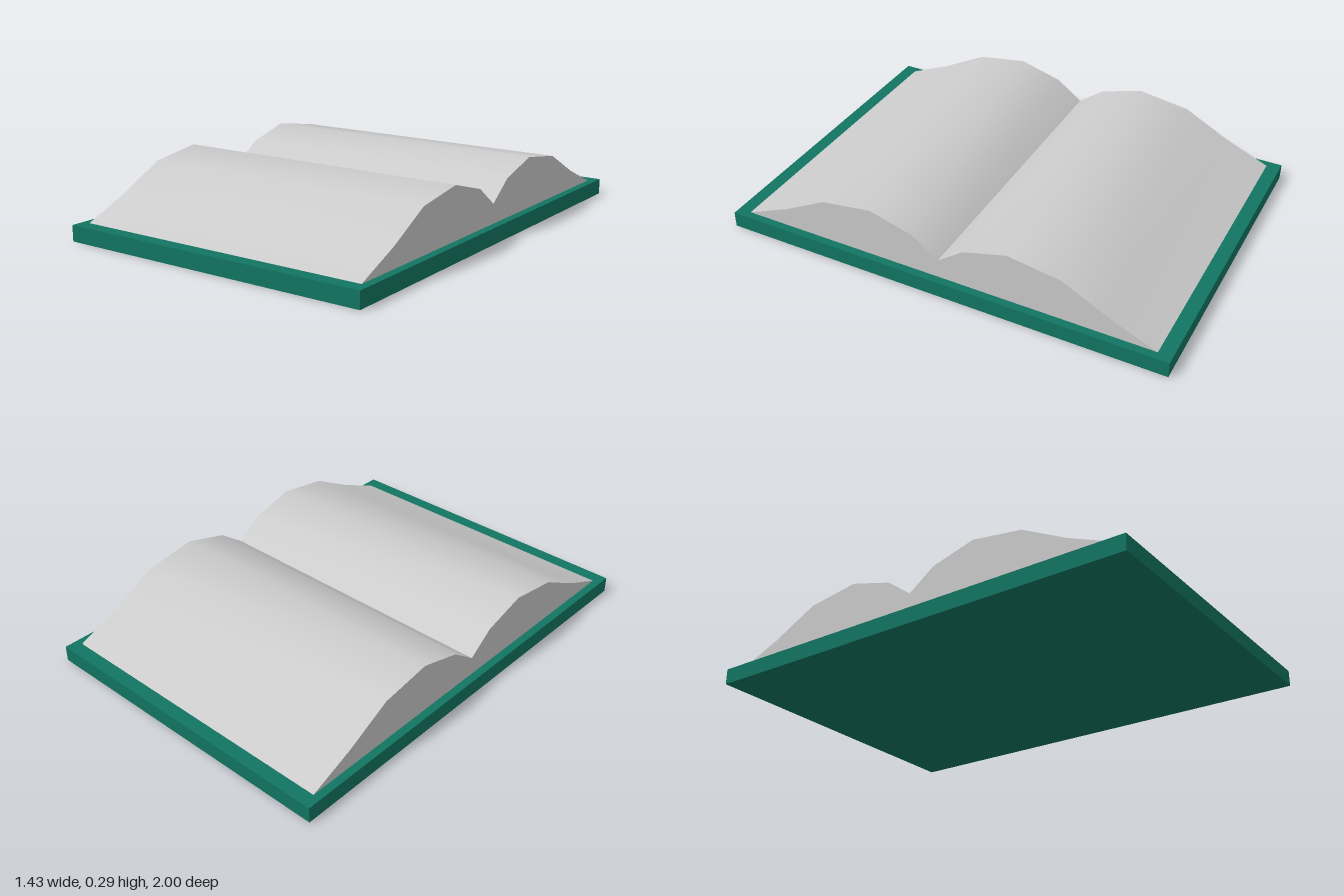
import * as THREE from 'three';
import { toCreasedNormals } from 'three/addons/utils/BufferGeometryUtils.js';

const COVER = { width: 1.43, height: 0.07, length: 2 };
const PAGE_WIDTH = 1.36;

// Half of the page profile, from the gutter to the outer edge: [z, y]
const HALF_PROFILE = [[0.115, 0.24], [0.31, 0.295], [0.54, 0.26], [0.74, 0.155], [0.94, COVER.height]];
const GUTTER = [0, 0.155];

export function createModel() {
  const book = new THREE.Group();
  book.name = 'openBook';

  // Flat cover board
  const cover = new THREE.Mesh(
    new THREE.BoxGeometry(COVER.width, COVER.height, COVER.length),
    new THREE.MeshStandardMaterial({ color: 0x127562 })
  );
  cover.name = 'cover';
  cover.position.y = COVER.height / 2;
  book.add(cover);

  // Two arched page blocks meeting at the gutter
  const mirrored = HALF_PROFILE.map(([z, y]) => [-z, y]).reverse();
  const outline = [...mirrored, GUTTER, ...HALF_PROFILE].map(([z, y]) => new THREE.Vector2(z, y));
  const pageGeometry = new THREE.ExtrudeGeometry(new THREE.Shape(outline), {
    depth: PAGE_WIDTH,
    bevelEnabled: false,
  });
  pageGeometry.translate(0, 0, -PAGE_WIDTH / 2);
  pageGeometry.rotateY(-Math.PI / 2);

  // Smooth arches, sharp gutter and ends
  const pages = new THREE.Mesh(
    toCreasedNormals(pageGeometry, 0.6),
    new THREE.MeshStandardMaterial({ color: 0xcccccc })
  );
  pages.name = 'pages';
  book.add(pages);

  return book;
}
